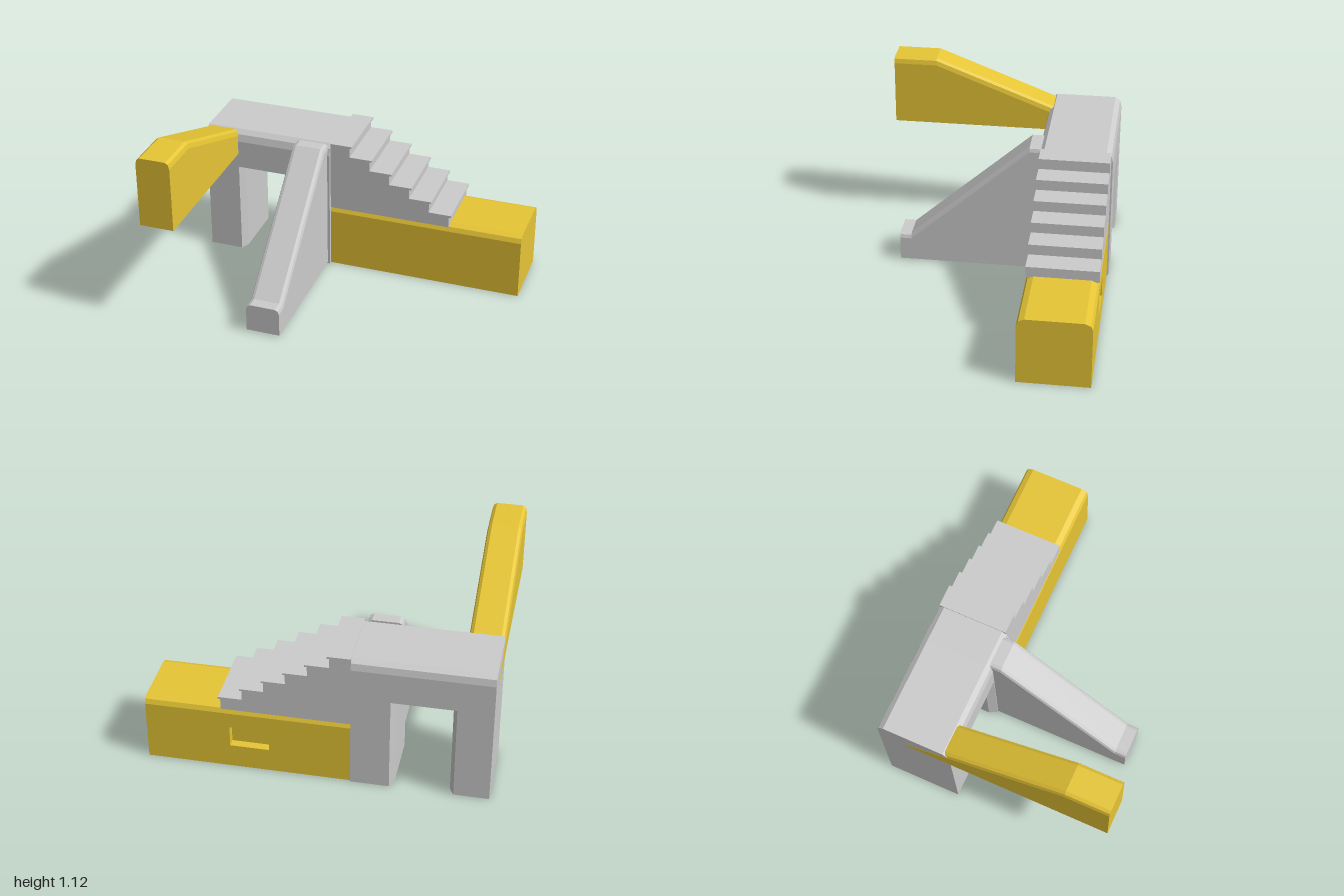
import * as THREE from 'three';

const grey = new THREE.MeshStandardMaterial({ color: 0xcccccc, flatShading: true });
const yellow = new THREE.MeshStandardMaterial({ color: 0xe6c535, flatShading: true });

// Extrude a [z, y] profile along x from x0 to x1.
function extrudeX(profile, x0, x1) {
  const shape = new THREE.Shape(profile.map(([z, y]) => new THREE.Vector2(-z, y)));
  return new THREE.ExtrudeGeometry(shape, { depth: x1 - x0, bevelEnabled: false })
    .rotateY(Math.PI / 2).translate(x0, 0, 0);
}

// Extrude a [x, z] plan upwards from the ground.
function extrudeY(plan, height) {
  const shape = new THREE.Shape(plan.map(([x, z]) => new THREE.Vector2(x, -z)));
  return new THREE.ExtrudeGeometry(shape, { depth: height, bevelEnabled: false }).rotateX(-Math.PI / 2);
}

// Beam along z with softened top edges; stations are [z, top height], back to front.
function bevelledBeam(x0, x1, bottom, stations, inset, drop) {
  const rings = stations.map(([z, h]) => [
    [x0, bottom], [x1, bottom], [x1, h - drop], [x1 - inset * 0.3, h - drop * 0.3], [x1 - inset, h],
    [x0 + inset, h], [x0 + inset * 0.3, h - drop * 0.3], [x0, h - drop],
  ].map(([x, y]) => [x, y, z]));
  const pos = [];
  const tri = (a, b, c) => pos.push(...a, ...b, ...c);
  const n = rings[0].length;
  const last = rings[rings.length - 1];
  for (let i = 0; i < rings.length - 1; i++) {
    for (let j = 0; j < n; j++) {
      const k = (j + 1) % n;
      tri(rings[i][j], rings[i][k], rings[i + 1][k]);
      tri(rings[i][j], rings[i + 1][k], rings[i + 1][j]);
    }
  }
  for (let j = 1; j < n - 1; j++) {
    tri(last[0], last[j], last[j + 1]);
    tri(rings[0][0], rings[0][j + 1], rings[0][j]);
  }
  const g = new THREE.BufferGeometry();
  g.setAttribute('position', new THREE.Float32BufferAttribute(pos, 3));
  g.computeVertexNormals();
  return g;
}

export function createModel() {
  const model = new THREE.Group();
  const add = (name, geometry, material, parent = model) => {
    const mesh = new THREE.Mesh(geometry, material);
    mesh.name = name;
    parent.add(mesh);
  };

  // Archway: two legs and a lintel sharing one softened roof line
  const arch = new THREE.Group();
  arch.name = 'archway';
  model.add(arch);
  const front = -0.26, back = -0.71, cut = 0.05;
  const archProfile = (bottom) => [
    [front, bottom], [front, 0.765], [-0.272, 0.81], [-0.3, 0.835],
    [-0.67, 0.835], [-0.7, 0.815], [back, 0.775], [back, bottom],
  ];
  add('outerLeg', extrudeX(archProfile(0), -1, -0.795), grey, arch);
  add('innerLeg', extrudeX(archProfile(0), -0.425, -0.2), grey, arch);
  add('lintel', extrudeX(archProfile(0.588), -0.795, -0.425), grey, arch);

  // Chamfered lining around the opening
  for (const [name, x, s] of [['outerJamb', -0.795, 1], ['innerJamb', -0.425, -1]]) {
    add(name, extrudeY([[x, front], [x + s * 0.025, front - cut], [x + s * 0.025, back + cut], [x, back]], 0.588), grey, arch);
  }
  add('openingHead', extrudeX([[front, 0.588], [front - cut, 0.558], [back + cut, 0.558], [back, 0.588]], -0.795, -0.425), grey, arch);

  // Long block with rounded top edges; the middle slice carries a recess in the back
  const block = new THREE.Group();
  block.name = 'longBlock';
  model.add(block);
  const blockFront = [
    [-0.28, 0], [-0.28, 0.37], [-0.292, 0.398], [-0.325, 0.412],
    [-0.655, 0.412], [-0.688, 0.398], [-0.7, 0.37],
  ];
  const recess = [[-0.7, 0.275], [-0.65, 0.275], [-0.65, 0.145], [-0.7, 0.145]];
  add('blockNearArch', extrudeX([...blockFront, [-0.7, 0]], -0.2, 0.275), yellow, block);
  add('blockRecess', extrudeX([...blockFront, ...recess, [-0.7, 0]], 0.275, 0.505), yellow, block);
  add('blockFarEnd', extrudeX([...blockFront, [-0.7, 0]], 0.505, 1), yellow, block);

  // Staircase: one side outline with overhanging treads
  const stairs = new THREE.Shape();
  stairs.moveTo(-0.2, 0.4);
  stairs.lineTo(-0.2, 0.84);
  for (let i = 0; i < 6; i++) {
    const nose = -0.065 + i * 0.126;
    const top = 0.84 - i * 0.072;
    stairs.lineTo(nose, top);
    stairs.lineTo(nose, top - 0.012);
    stairs.lineTo(nose - 0.014, top - 0.012);
    stairs.lineTo(nose - 0.014, i < 5 ? top - 0.072 : 0.4);
  }
  add('staircase', new THREE.ExtrudeGeometry(stairs, { depth: 0.42, bevelEnabled: false }).translate(0, 0, -0.7), grey);

  // Grey ramp descending to the front
  add('ramp', bevelledBeam(-0.42, -0.215, 0.01,
    [[-0.28, 0.833], [-0.21, 0.833], [0.52, 0.185], [0.59, 0.185]], 0.025, 0.03), grey);

  // Yellow raised beam climbing away from the arch, its low end sunk into it
  add('raisedBeam', bevelledBeam(-1.001, -0.795, 0.68,
    [[-0.55, 0.732], [0.445, 1.115], [0.71, 1.115]], 0.025, 0.04), yellow);

  return model;
}
